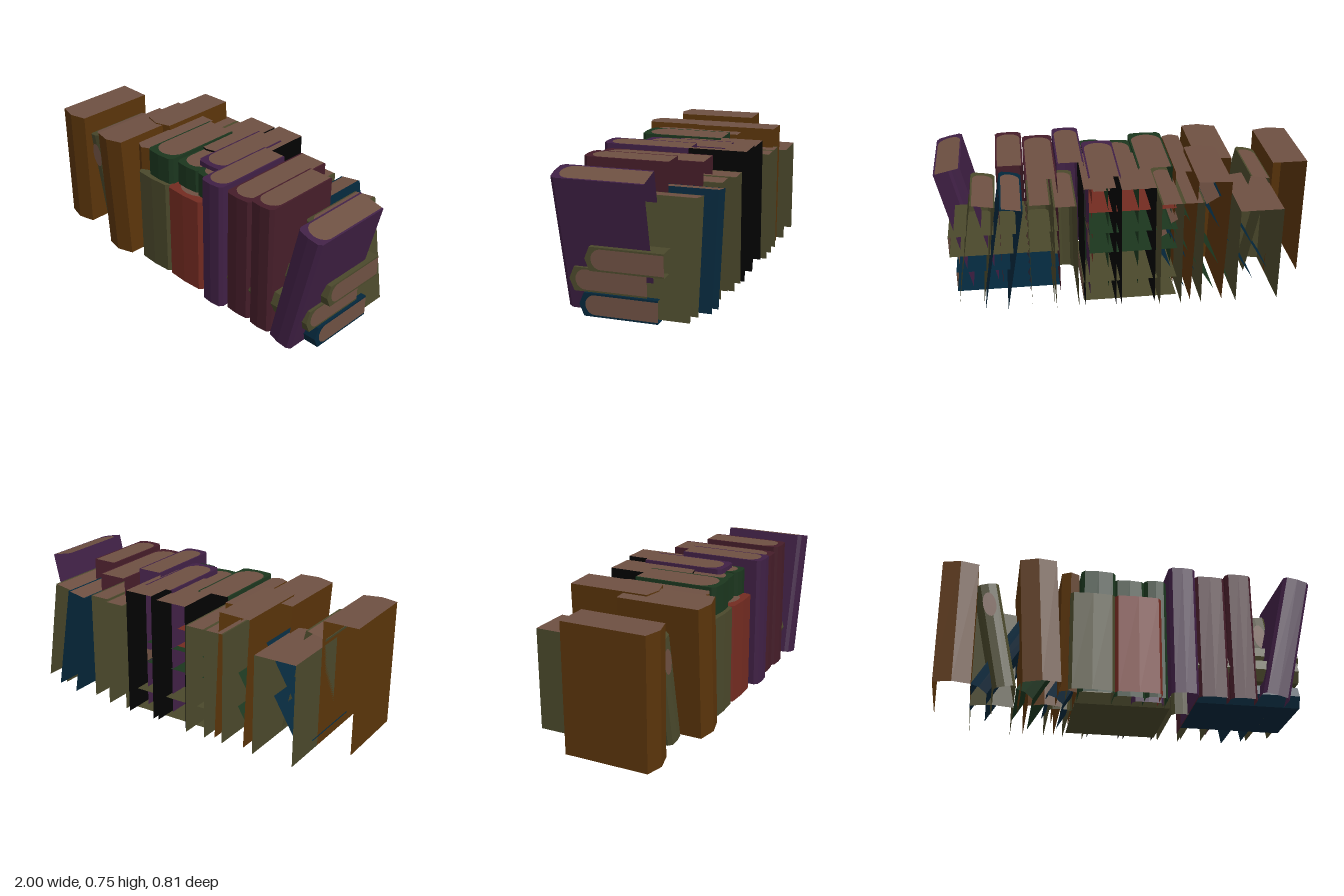
import * as THREE from 'three';

const DEG = Math.PI / 180;
const mat = (name, color) => {
  const m = new THREE.MeshStandardMaterial({ color, side: THREE.DoubleSide });
  m.name = name;
  return m;
};

// Open polyline in plan (x, z) swept straight up: covers and spine in one strip
function wallGeometry(points, h) {
  const pos = [];
  for (let i = 0; i < points.length - 1; i++) {
    const [ax, az] = points[i], [bx, bz] = points[i + 1];
    pos.push(ax, 0, az, bx, 0, bz, bx, h, bz);
    pos.push(ax, 0, az, bx, h, bz, ax, h, az);
  }
  const g = new THREE.BufferGeometry();
  g.setAttribute('position', new THREE.Float32BufferAttribute(pos, 3));
  g.computeVertexNormals();
  return g;
}

// Flat shape in plan, facing up at height h
function capGeometry(points, h) {
  const g = new THREE.ShapeGeometry(new THREE.Shape(points.map(([x, z]) => new THREE.Vector2(x, -z))));
  return g.rotateX(-Math.PI / 2).translate(0, h, 0);
}

// A book open at the back and the bottom, standing on its origin
function makeBook(name, cover, pages, { w, h, back, front, pointed, full }) {
  const book = new THREE.Group();
  book.name = name;
  const a = w / 2, inset = a - 0.016;
  const spine = pointed
    ? [[-a, front - 0.025], [0, front], [a, front - 0.025]]
    : [[-a, front - 0.026], [-inset, front - 0.006], [0, front], [inset, front - 0.006], [a, front - 0.026]];
  const outline = [[-a, back], ...spine, [a, back]];
  const add = (part, geometry, material) => {
    const m = new THREE.Mesh(geometry, material);
    m.name = part;
    book.add(m);
  };
  add('cover', wallGeometry(outline, h), cover);
  if (full) {
    add('pages', capGeometry(outline, h), pages);
  } else {
    // rounded page block with a rim of cover around it
    const r = a - 0.009, tip = front - 0.032, start = tip - r * 0.95;
    const curve = [[-r, back]];
    for (let i = 0; i <= 10; i++) {
      const t = Math.PI * (1 - i / 10);
      curve.push([r * Math.cos(t), start + (tip - start) * Math.sin(t)]);
    }
    curve.push([r, back]);
    add('pages', capGeometry(curve, h), pages);
    add('rim', capGeometry([...outline, ...curve.slice().reverse()], h), cover);
  }
  return book;
}

export function createModel() {
  const model = new THREE.Group();
  model.name = 'bookRow';
  const brown = mat('brown', 0x5a340a), pages = mat('paper', 0x6e5042), olive = mat('olive', 0x4a482b),
    purple = mat('purple', 0x402045), red = mat('red', 0x732b21), maroon = mat('maroon', 0x451d29),
    green = mat('green', 0x1b361e), blue = mat('blue', 0x04273b), black = mat('black', 0x020202);

  // Upright books: cover, left x, right x, top y, back z, front z, options
  const upright = (row, list) => list.forEach(([cover, x0, x1, top, back, front, opt = {}], i) => {
    const b = makeBook(`${row}${i + 1}`, cover, pages, { w: x1 - x0, h: top - 0.02, back, front, ...opt });
    b.position.set((x0 + x1) / 2, 0.02, 0);
    model.add(b);
  });
  const plain = { pointed: true, full: true };
  upright('frontBook', [
    [brown, -1, -0.81, 0.71, -0.14, 0.34, plain],
    [brown, -0.365, -0.27, 0.71, -0.19, 0.31, plain],
    [green, -0.26, -0.075, 0.725, -0.15, 0.32],
    [olive, -0.32, -0.08, 0.575, -0.1, 0.345],
    [red, -0.08, 0.17, 0.575, -0.1, 0.345],
    [green, -0.075, 0.09, 0.705, -0.18, 0.28],
    [green, 0.09, 0.21, 0.71, -0.15, 0.29],
    [purple, 0.03, 0.2, 0.733, -0.25, 0.22],
    [purple, 0.21, 0.355, 0.755, -0.1, 0.375],
    [maroon, 0.36, 0.525, 0.73, -0.23, 0.345],
    [maroon, 0.53, 0.675, 0.755, -0.1, 0.35],
  ]);
  upright('backBook', [
    [olive, -0.81, -0.58, 0.57, -0.41, 0.05, plain],
    [olive, -0.39, -0.28, 0.63, -0.4, 0.05],
    [olive, -0.28, -0.165, 0.63, -0.4, 0.05],
    [black, -0.14, 0.04, 0.715, -0.37, 0.08, plain],
    [black, 0.07, 0.235, 0.73, -0.375, 0.08, plain],
    [olive, 0.27, 0.39, 0.63, -0.36, 0.08],
    [olive, 0.4, 0.52, 0.63, -0.325, 0.1],
  ]);

  // Leaning books: cover, base x, base y, tilt (positive leans to -x), shape
  [
    [olive, -0.638, 0.03, 11.5, { w: 0.115, h: 0.595, back: -0.11, front: 0.29 }],
    [blue, -0.77, 0.046, -31, { w: 0.1, h: 0.57, back: -0.2, front: 0.22, pointed: true }],
    [green, -0.535, 0.026, -31, { w: 0.1, h: 0.5, back: -0.245, front: 0.238, pointed: true }],
    [blue, -0.375, 0.026, -31, { w: 0.1, h: 0.35, back: -0.2, front: 0.19, pointed: true }],
    [brown, -0.457, 0.026, 3.5, { w: 0.195, h: 0.7, back: -0.07, front: 0.405, ...plain }],
    [brown, -0.42, 0.024, 2, { w: 0.175, h: 0.71, back: -0.38, front: 0.09, ...plain }],
    [blue, 0.71, 0.03, 10, { w: 0.12, h: 0.603, back: -0.35, front: 0.1 }],
    [olive, 0.845, 0.03, 9, { w: 0.13, h: 0.595, back: -0.285, front: 0.12 }],
    [purple, 0.768, 0.037, -13, { w: 0.145, h: 0.72, back: -0.095, front: 0.378 }],
  ].forEach(([cover, x, y, tilt, shape], i) => {
    const b = makeBook(`leaningBook${i + 1}`, cover, pages, shape);
    b.position.set(x, y, 0);
    b.rotation.z = tilt * DEG;
    model.add(b);
  });

  // Pale ovals on the spines of the two leaning olive books
  [[-0.742, 0.49, 0.293, 11.5], [0.775, 0.5, 0.123, 9]].forEach(([x, y, z, tilt]) => {
    const oval = new THREE.Mesh(new THREE.CircleGeometry(1, 20).scale(0.035, 0.07, 1), pages);
    oval.name = 'spineOval';
    oval.position.set(x, y, z);
    oval.rotation.z = tilt * DEG;
    model.add(oval);
  });

  // Books lying flat, pages toward +x: cover, left x, right x, bottom y, top y, back z, front z
  [
    [blue, 0.36, 0.925, 0.02, 0.14, -0.13, 0.275],
    [olive, 0.36, 0.91, 0.14, 0.262, -0.07, 0.33],
    [olive, 0.36, 0.95, 0.264, 0.385, -0.17, 0.23],
    [olive, -0.27, 0.24, 0.016, 0.13, -0.3, 0.18],
    [green, -0.3, 0.2, 0.28, 0.4, -0.25, 0.2],
    [red, -0.3, 0.2, 0.4, 0.5, -0.2, 0.2],
  ].forEach(([cover, x0, x1, y0, y1, back, front], i) => {
    const b = makeBook(`flatBook${i + 1}`, cover, pages, { w: y1 - y0, h: x1 - x0, back, front, pointed: true });
    b.position.set(x0, (y0 + y1) / 2, 0);
    b.rotation.z = -Math.PI / 2;
    model.add(b);
  });
  return model;
}
